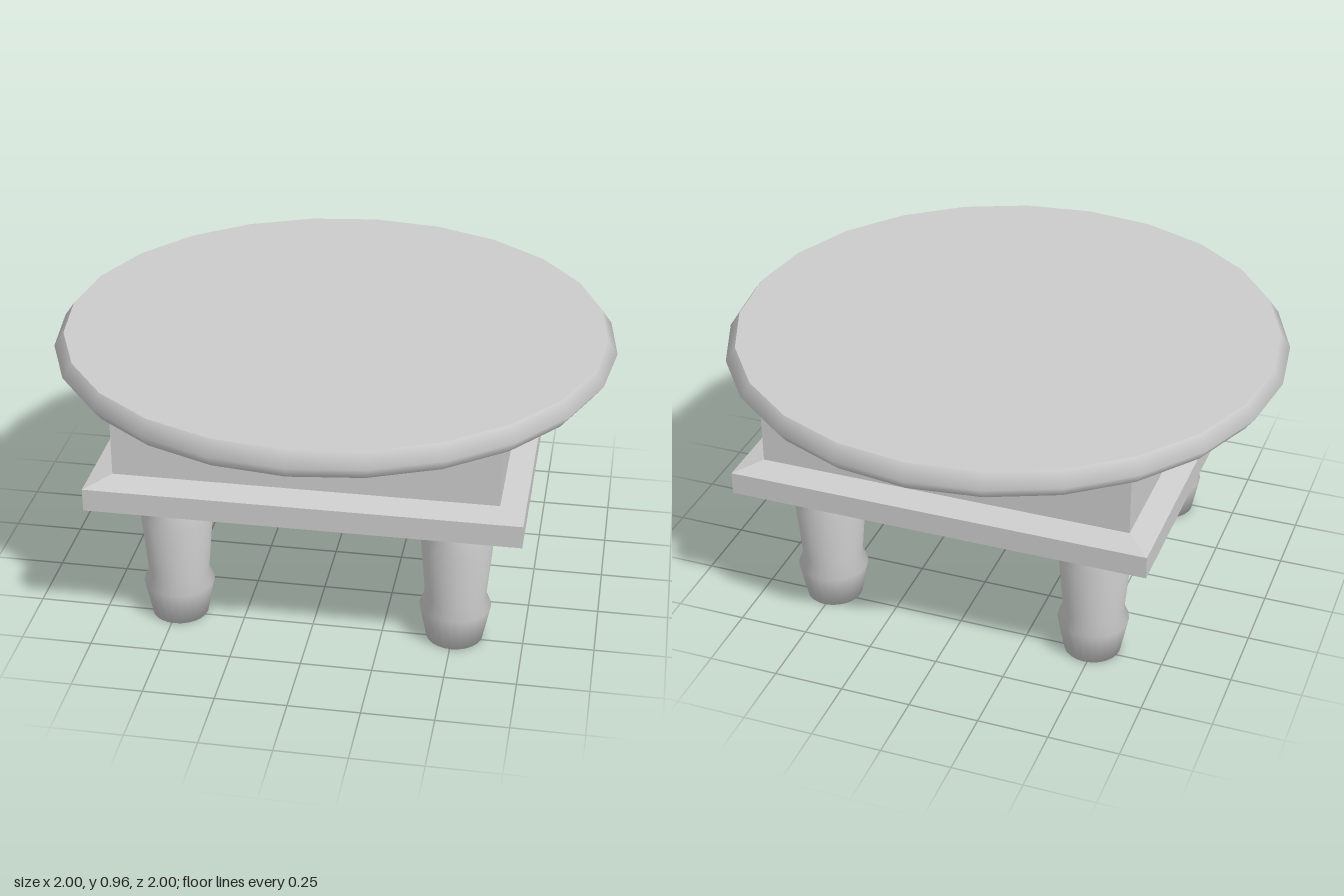
import * as THREE from 'three';

const smooth = new THREE.MeshStandardMaterial({ color: 0xcccccc });
const flat = new THREE.MeshStandardMaterial({ color: 0xcccccc, flatShading: true });

// Profile points are [radius, y], listed from bottom to top
function lathe(profile, sides, phiStart = 0) {
  const points = profile.map(([r, y]) => new THREE.Vector2(r, y));
  return new THREE.LatheGeometry(points, sides, phiStart);
}

// Square solid whose profile gives half widths instead of radii
function squareLathe(profile) {
  return lathe(profile.map(([w, y]) => [w * Math.SQRT2, y]), 4, Math.PI / 4);
}

function addPart(parent, name, geometry, material) {
  const mesh = new THREE.Mesh(geometry, material);
  mesh.name = name;
  parent.add(mesh);
  return mesh;
}

export function createModel() {
  const model = new THREE.Group();
  model.name = 'roundTopStand';

  // Round top: a ridged rim closed by two flat discs
  const top = new THREE.Group();
  top.name = 'roundTop';
  model.add(top);
  addPart(top, 'topRim', lathe([[0.965, 0.865], [1, 0.912], [0.965, 0.962]], 24), smooth);
  for (const [name, y, turn] of [['topSurface', 0.962, -1], ['topUnderside', 0.865, 1]]) {
    const disc = new THREE.CircleGeometry(0.965, 24).rotateX(turn * Math.PI / 2);
    addPart(top, name, disc, smooth).position.y = y;
  }

  // Square block between the top and the base plate
  const block = addPart(model, 'block', new THREE.BoxGeometry(1.322, 0.225, 1.322), smooth);
  block.position.y = 0.7525;

  // Square base plate with bevelled upper and lower edges
  const plate = squareLathe([
    [0, 0.525], [0.66, 0.525], [0.746, 0.541], [0.746, 0.622], [0.661, 0.645], [0, 0.645],
  ]);
  addPart(model, 'basePlate', plate, flat);

  // Four turned legs
  const legGeometry = lathe([
    [0, 0], [0.1, 0], [0.126, 0.13], [0.108, 0.175],
    [0.127, 0.397], [0.09, 0.48], [0.1, 0.526],
  ], 24);
  for (const [side, x] of [['Left', 0.505], ['Right', -0.489]]) {
    for (const [end, z] of [['front', 0.477], ['back', -0.475]]) {
      addPart(model, `${end}${side}Leg`, legGeometry, smooth).position.set(x, 0, z);
    }
  }
  return model;
}
